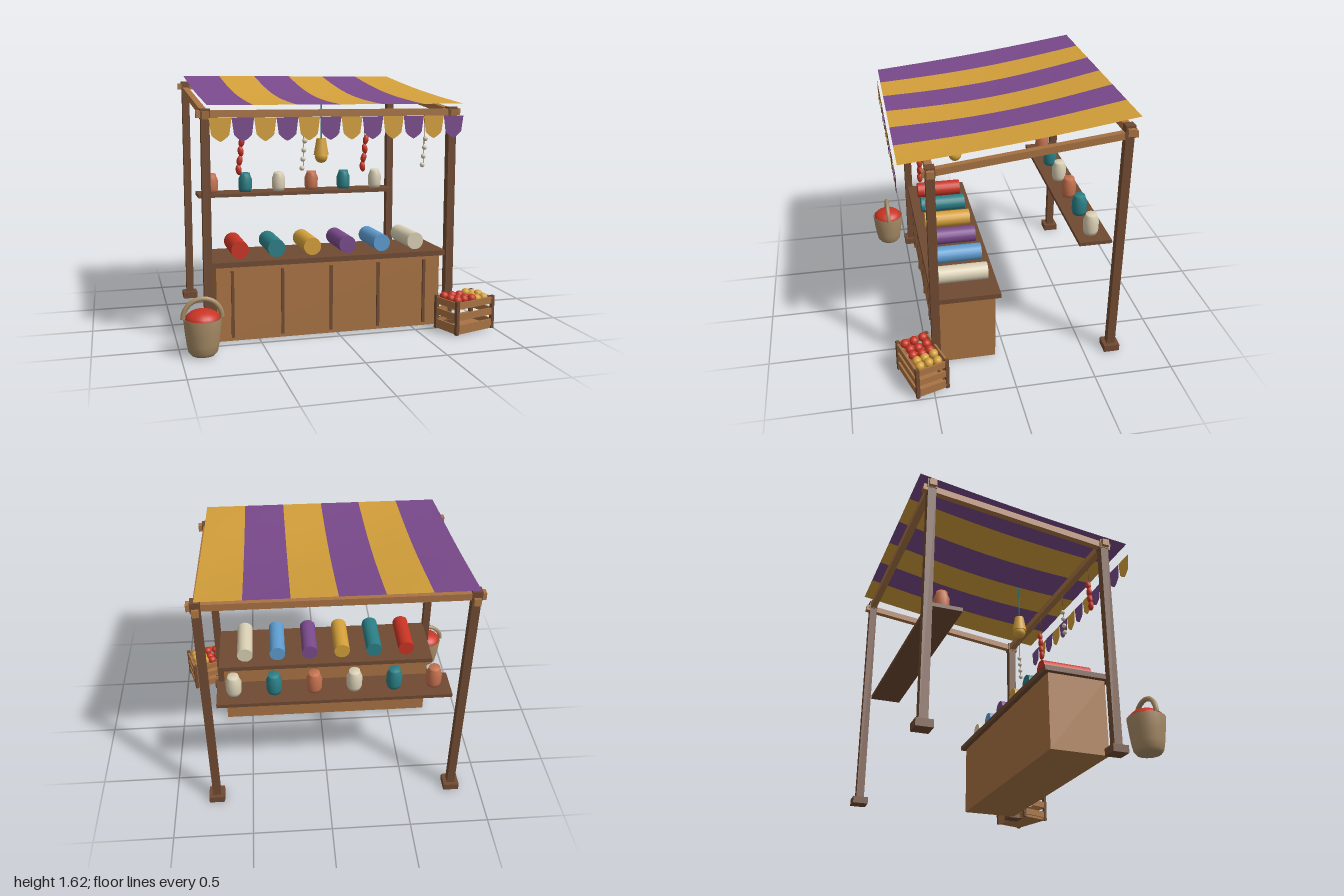
import * as THREE from 'three';

const paint = (name, color) => {
  const m = new THREE.MeshStandardMaterial({ color, side: THREE.DoubleSide });
  m.name = name;
  return m;
};

export function createModel() {
  const darkWood = paint('dark wood', 0x704a32), lightWood = paint('light wood', 0xa87343);
  const purple = paint('purple', 0x7a4a8c), gold = paint('gold', 0xd4a03a);
  const red = paint('red', 0xc83424), teal = paint('teal', 0x2a7f86);
  const blue = paint('blue', 0x5e9ccf), cream = paint('cream', 0xd9cfb4);
  const clay = paint('terracotta', 0xc4714e), wicker = paint('wicker', 0xa88c66);

  const model = new THREE.Group();
  model.name = 'marketStall';
  const cx = -0.04; // middle of the stall frame

  const add = (name, geo, mat, x = 0, y = 0, z = 0, parent = model) => {
    const m = new THREE.Mesh(geo, mat);
    m.name = name;
    m.position.set(x, y, z);
    parent.add(m);
    return m;
  };
  const box = (name, mat, w, h, d, x, y, z, parent) =>
    add(name, new THREE.BoxGeometry(w, h, d), mat, x, y, z, parent);
  const lathe = (pts, n) => new THREE.LatheGeometry(pts.map(p => new THREE.Vector2(...p)), n);

  // Posts, feet, joints and sloping side beams
  for (const s of [-1, 1]) {
    const x = cx + s * 0.775;
    for (const [z, top] of [[0.455, 1.42], [-0.68, 1.58]]) {
      box('post', darkWood, 0.05, top, 0.052, x, top / 2, z);
      box('foot', darkWood, 0.1, 0.045, 0.1, x, 0.0225, z);
      box('joint', darkWood, 0.058, 0.06, 0.058, x, top - 0.03, z);
    }
    box('sideBeam', lightWood, 0.04, 0.042, 1.24, x, 1.452, -0.115).rotation.x = 0.117;
  }
  // Cross beams
  box('frontBeam', lightWood, 1.655, 0.043, 0.044, cx, 1.388, 0.455);
  box('backBeam', lightWood, 1.655, 0.043, 0.044, cx, 1.545, -0.68);

  // Sagging striped canopy
  const x0 = -0.82, width = 1.555, stripe = width / 6;
  for (let i = 0; i < 6; i++) {
    const geo = new THREE.PlaneGeometry(stripe, 1.38, 6, 16).rotateX(-Math.PI / 2);
    const p = geo.attributes.position;
    for (let k = 0; k < p.count; k++) {
      const u = (i + 0.5) / 6 + p.getX(k) / width, v = p.getZ(k) / 1.38 + 0.5;
      const sag = Math.sin(Math.PI * v) * (0.012 + 0.028 * Math.sin(Math.PI * u));
      p.setY(k, 1.62 - 0.177 * v - sag);
    }
    geo.computeVertexNormals();
    add('canopyStripe', geo, i % 2 ? gold : purple, x0 + (i + 0.5) * stripe, 0, -0.06);
  }

  // Row of pennants under the front edge
  const w = 0.129, flag = new THREE.Shape();
  flag.moveTo(-w / 2, 0);
  flag.lineTo(-w * 0.4, -0.095);
  flag.quadraticCurveTo(-w * 0.25, -0.12, 0, -0.135);
  flag.quadraticCurveTo(w * 0.25, -0.12, w * 0.4, -0.095);
  flag.lineTo(w / 2, 0);
  const flagGeo = new THREE.ShapeGeometry(flag, 4);
  for (let i = 0; i < 12; i++)
    add('pennant', flagGeo, i % 2 ? purple : gold, -0.815 + (i + 0.5) * w, 1.372, 0.64);

  // Hanging strings of chillies and beads
  const chilli = new THREE.SphereGeometry(0.018, 10, 8).scale(1, 1.75, 1);
  const bead = new THREE.SphereGeometry(0.016, 10, 8);
  [-0.61, -0.225, 0.16, 0.555].forEach((x, i) => {
    add('string', new THREE.CylinderGeometry(0.002, 0.002, 0.31, 5), darkWood, x, 1.21, 0.455);
    for (let k = 0; k < 4; k++) {
      const dx = (i % 2 ? 0.009 : 0.01) * (1 - k * 0.67);
      const m = add(i % 2 ? 'bead' : 'chilli', i % 2 ? bead : chilli, i % 2 ? cream : red,
        x + dx, 1.222 - k * 0.055, 0.455);
      if (!(i % 2)) m.rotation.z = k % 2 ? 0.15 : -0.2;
    }
  });

  // Hanging lamp
  add('lampCord', new THREE.CylinderGeometry(0.004, 0.004, 0.25, 6), teal, -0.045, 1.335, 0.2);
  add('lampShade', new THREE.CylinderGeometry(0.031, 0.05, 0.105, 12), gold, -0.045, 1.165, 0.2);
  add('lampBulb', new THREE.SphereGeometry(0.042, 14, 10), gold, -0.045, 1.102, 0.2);

  // Counter with upright battens
  box('counterBody', lightWood, 1.445, 0.465, 0.365, cx, 0.2375, 0.2525);
  box('counterTop', darkWood, 1.505, 0.032, 0.425, cx, 0.485, 0.2525);
  for (let i = -2; i <= 2; i++)
    box('counterBatten', darkWood, 0.018, 0.415, 0.014, cx - 0.005 + i * 0.31, 0.235, 0.44);

  // Cloth rolls
  const roll = new THREE.CylinderGeometry(0.055, 0.055, 0.312, 18).rotateX(Math.PI / 2);
  [red, teal, gold, purple, blue, cream].forEach((m, i) =>
    add('clothRoll', roll, m, -0.61 + i * 0.2275, 0.56, 0.25));

  // Back shelf and jars
  box('shelf', darkWood, 1.445, 0.024, 0.205, cx, 0.778, -0.553);
  const jar = lathe([[0, 0], [0.04, 0], [0.048, 0.025], [0.049, 0.09], [0.036, 0.122],
    [0.034, 0.137], [0, 0.137]], 14);
  for (let i = 0; i < 6; i++)
    add('jar', jar, [clay, teal, cream][i % 3], -0.66 + i * 0.247, 0.79, -0.55);

  // Round basket heaped with red spice
  const basket = new THREE.Group();
  basket.name = 'basket';
  basket.position.set(-0.87, 0, 0.628);
  model.add(basket);
  add('basketBody', lathe([[0, 0.005], [0.07, 0.005], [0.086, 0.025], [0.095, 0.07],
    [0.104, 0.14], [0.112, 0.222], [0.104, 0.222], [0.098, 0.19]], 20), wicker, 0, 0, 0, basket);
  add('basketHandle', new THREE.TorusGeometry(0.113, 0.015, 8, 20, Math.PI), wicker, 0, 0.222, 0, basket);
  add('spiceHeap', new THREE.SphereGeometry(0.105, 20, 8, 0, Math.PI * 2, 0, Math.PI / 2).scale(1, 0.62, 1),
    red, 0, 0.21, 0, basket);

  // Slatted crate, turned a little
  const crate = new THREE.Group();
  crate.name = 'crate';
  crate.position.set(0.813, 0, 0.553);
  crate.rotation.y = 0.305;
  model.add(crate);
  box('crateFloor', lightWood, 0.3, 0.016, 0.2, 0, 0.014, 0, crate);
  for (const s of [-1, 1]) {
    for (const t of [-1, 1]) box('cratePost', darkWood, 0.022, 0.215, 0.022, s * 0.148, 0.112, t * 0.097, crate);
    for (const y of [0.045, 0.118, 0.19]) {
      box('longSlat', lightWood, 0.312, 0.043, 0.012, 0, y, s * 0.1, crate);
      box('shortSlat', lightWood, 0.012, 0.043, 0.2, s * 0.15, y, 0, crate);
    }
  }
  // Fruit: red at one end, gold at the other
  let seed = 7;
  const rand = () => (seed = (seed * 16807) % 2147483647) / 2147483647 - 0.5;
  const fruit = new THREE.SphereGeometry(0.029, 12, 8);
  for (let i = 0; i < 5; i++)
    for (let j = 0; j < 3; j++)
      add('fruit', fruit, i < 3 ? red : gold, (i - 2) * 0.056 + rand() * 0.012,
        0.208 + rand() * 0.02, (j - 1) * 0.058 + rand() * 0.012, crate);
  return model;
}
